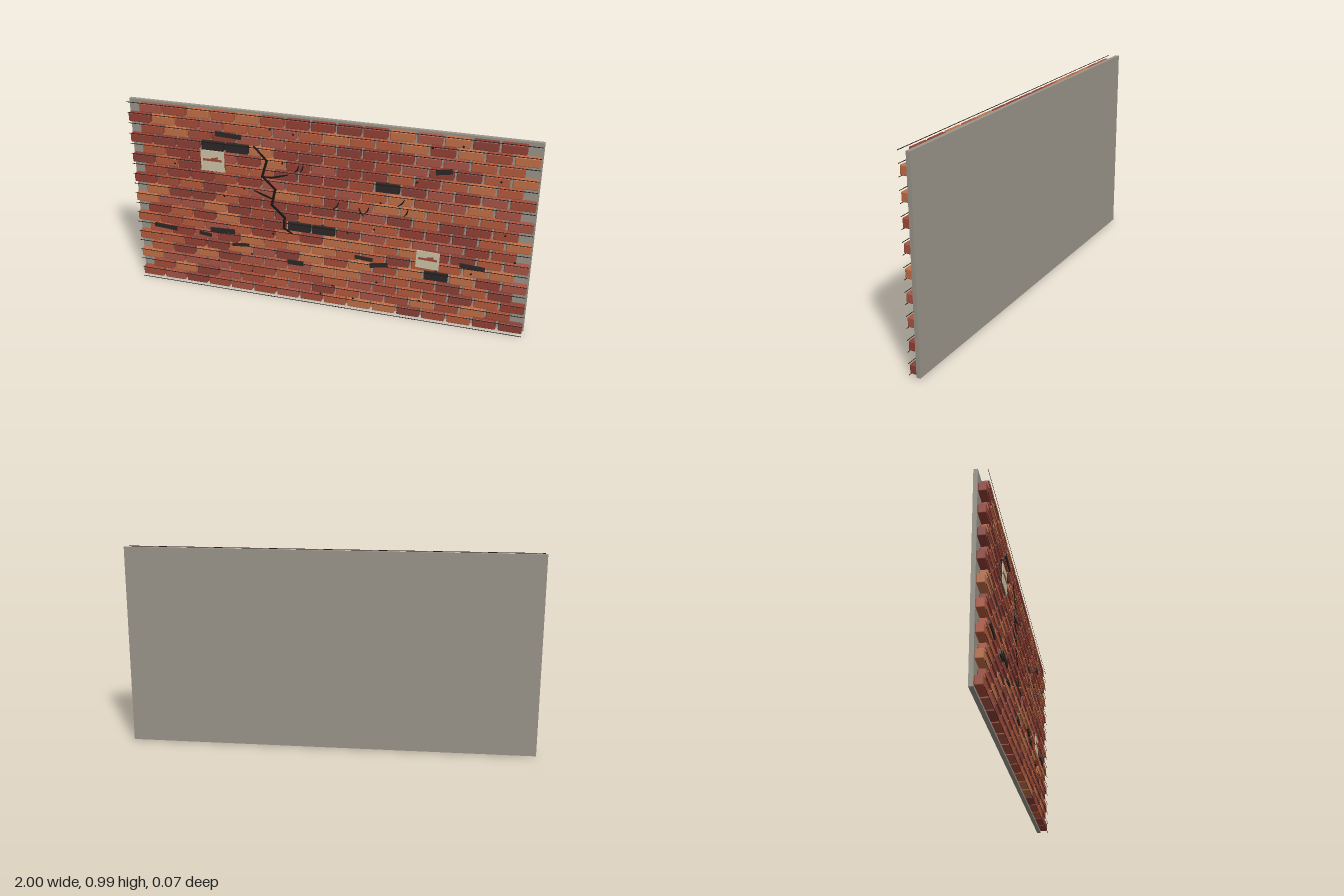
import * as THREE from 'three';
import { RoundedBoxGeometry } from 'three/addons/geometries/RoundedBoxGeometry.js';

const mat = (color) => new THREE.MeshStandardMaterial({ color });
const DARK = mat(0x2b2826), CRACK = mat(0x1c1614), MORTAR = mat(0x9a958a);
const PAPER = mat(0xcdc3a5), STAIN = mat(0xa04a3a);
const BRICKS = [0xb55a3c, 0xa34c38, 0x8a4036, 0xc07048, 0xa85444, 0x943f34].map(mat);

const ROWS = 18, PITCH_X = 0.125, PITCH_Y = 0.0542;
const BRICK_W = 0.113, BRICK_H = 0.044;

function seeded(seed) {
  return () => {
    seed = (seed * 1664525 + 1013904223) % 4294967296;
    return seed / 4294967296;
  };
}

function add(parent, name, geometry, material, x, y, z, angle = 0) {
  const mesh = new THREE.Mesh(geometry, material);
  mesh.name = name;
  mesh.position.set(x, y, z);
  mesh.rotation.z = angle;
  parent.add(mesh);
  return mesh;
}

function section(parent, name) {
  const group = new THREE.Group();
  group.name = name;
  parent.add(group);
  return group;
}

// Flat jagged crack that narrows towards its ends
function crack(parent, name, points, width) {
  const left = [], right = [];
  points.forEach(([x, y], i) => {
    const a = points[Math.max(i - 1, 0)], b = points[Math.min(i + 1, points.length - 1)];
    const dx = b[0] - a[0], dy = b[1] - a[1], len = Math.hypot(dx, dy);
    const half = width * (i === 0 || i === points.length - 1 ? 0.25 : 0.5);
    left.push(new THREE.Vector2(x - dy / len * half, y + dx / len * half));
    right.unshift(new THREE.Vector2(x + dy / len * half, y - dx / len * half));
  });
  const geometry = new THREE.ExtrudeGeometry(new THREE.Shape([...left, ...right]),
    { depth: 0.002, bevelEnabled: false });
  add(parent, name, geometry, CRACK, 0, 0, 0.031);
}

export function createModel() {
  const wall = new THREE.Group();
  wall.name = 'brickWall';
  const random = seeded(17);

  // Mortar slab behind the bricks
  add(wall, 'mortarSlab', new THREE.BoxGeometry(2, 0.98, 0.019), MORTAR, 0, 0.495, -0.0235);

  // Running bond: odd rows are one brick shorter; a few bricks are missing
  const missing = new Set(['14:3', '14:4', '12:10', '7:6', '7:7', '4:12']);
  const bricks = section(wall, 'bricks');
  const brickShape = new RoundedBoxGeometry(BRICK_W, BRICK_H, 0.037, 1, 0.005);
  const hollowShape = new THREE.BoxGeometry(BRICK_W, BRICK_H, 0.026);
  for (let row = 0; row < ROWS; row++) {
    const count = row % 2 ? 15 : 16;
    const y = 0.0335 + row * PITCH_Y;
    for (let i = 0; i < count; i++) {
      const x = (i - (count - 1) / 2) * PITCH_X;
      const color = BRICKS[Math.floor(random() * BRICKS.length)];
      if (missing.has(`${row}:${i}`)) add(bricks, 'missingBrick', hollowShape, DARK, x, y, -0.001);
      else add(bricks, 'brick', brickShape, color, x, y, 0.0045);
    }
  }

  // Thin shadow lines in front of the bed joints
  const lines = section(wall, 'jointLines');
  const lineShape = new THREE.BoxGeometry(1.99, 0.003, 0.001);
  for (let k = 0; k <= ROWS; k++) add(lines, 'jointLine', lineShape, CRACK, 0, 0.0015 + k * 0.0544, 0.028);

  // Dark chipped patches: x, y, width, height, tilt
  const chips = section(wall, 'chips');
  for (const [x, y, w, h, tilt] of [
    [-0.47, 0.865, 0.13, 0.024, -0.04], [0.575, 0.81, 0.075, 0.024, 0.18],
    [-0.84, 0.32, 0.125, 0.022, -0.06], [-0.62, 0.31, 0.065, 0.018, -0.1],
    [-0.525, 0.343, 0.13, 0.025, 0.04], [-0.43, 0.277, 0.09, 0.016, 0.1],
    [-0.14, 0.22, 0.08, 0.024, 0], [0.21, 0.303, 0.09, 0.018, -0.06],
    [0.285, 0.277, 0.09, 0.022, 0.2], [0.735, 0.34, 0.12, 0.022, -0.06],
  ]) add(chips, 'chip', new THREE.BoxGeometry(w, h, 0.006), DARK, x, y, 0.026, tilt);

  // Scattered small specks
  const specks = section(wall, 'specks');
  const speckShape = new THREE.CircleGeometry(0.006, 5);
  for (let i = 0; i < 26; i++) {
    add(specks, 'speck', speckShape, CRACK, random() * 1.9 - 0.95, 0.05 + random() * 0.9, 0.0245, random() * 3);
  }

  // Main crack with its side branches, and short hairlines
  const cracks = section(wall, 'cracks');
  crack(cracks, 'mainCrack', [[-0.34, 0.83], [-0.275, 0.76], [-0.3, 0.675], [-0.235, 0.615],
    [-0.255, 0.53], [-0.19, 0.47], [-0.195, 0.41], [-0.15, 0.385]], 0.014);
  crack(cracks, 'crackBranch', [[-0.3, 0.675], [-0.25, 0.675], [-0.17, 0.7]], 0.01);
  crack(cracks, 'crackBranch', [[-0.245, 0.56], [-0.29, 0.575], [-0.345, 0.595]], 0.01);
  for (const [x, y, lean] of [[-0.125, 0.735, 0.012], [-0.1, 0.74, 0.008], [0.07, 0.57, 0.014],
    [0.195, 0.555, -0.012], [0.22, 0.565, 0.012], [0.385, 0.63, 0.016], [0.41, 0.58, 0.01]]) {
    crack(cracks, 'hairline', [[x - lean, y - 0.02], [x + lean * 0.4, y], [x + lean, y + 0.02]], 0.007);
  }

  // Pale paper patches with torn reddish smears
  for (const [x, y, w, h, tilt] of [[-0.557, 0.722, 0.122, 0.108, 0], [0.523, 0.345, 0.112, 0.092, -0.04]]) {
    const patch = section(wall, 'paperPatch');
    patch.position.set(x, y, 0.027);
    patch.rotation.z = tilt;
    add(patch, 'paper', new THREE.BoxGeometry(w, h, 0.004), PAPER, 0, 0, 0);
    add(patch, 'smear', new THREE.BoxGeometry(w * 0.8, 0.011, 0.002), STAIN, 0, 0.005, 0.003);
    add(patch, 'smear', new THREE.BoxGeometry(w * 0.3, 0.01, 0.002), STAIN, w * 0.1, 0.014, 0.0028, 0.2);
  }
  return wall;
}
